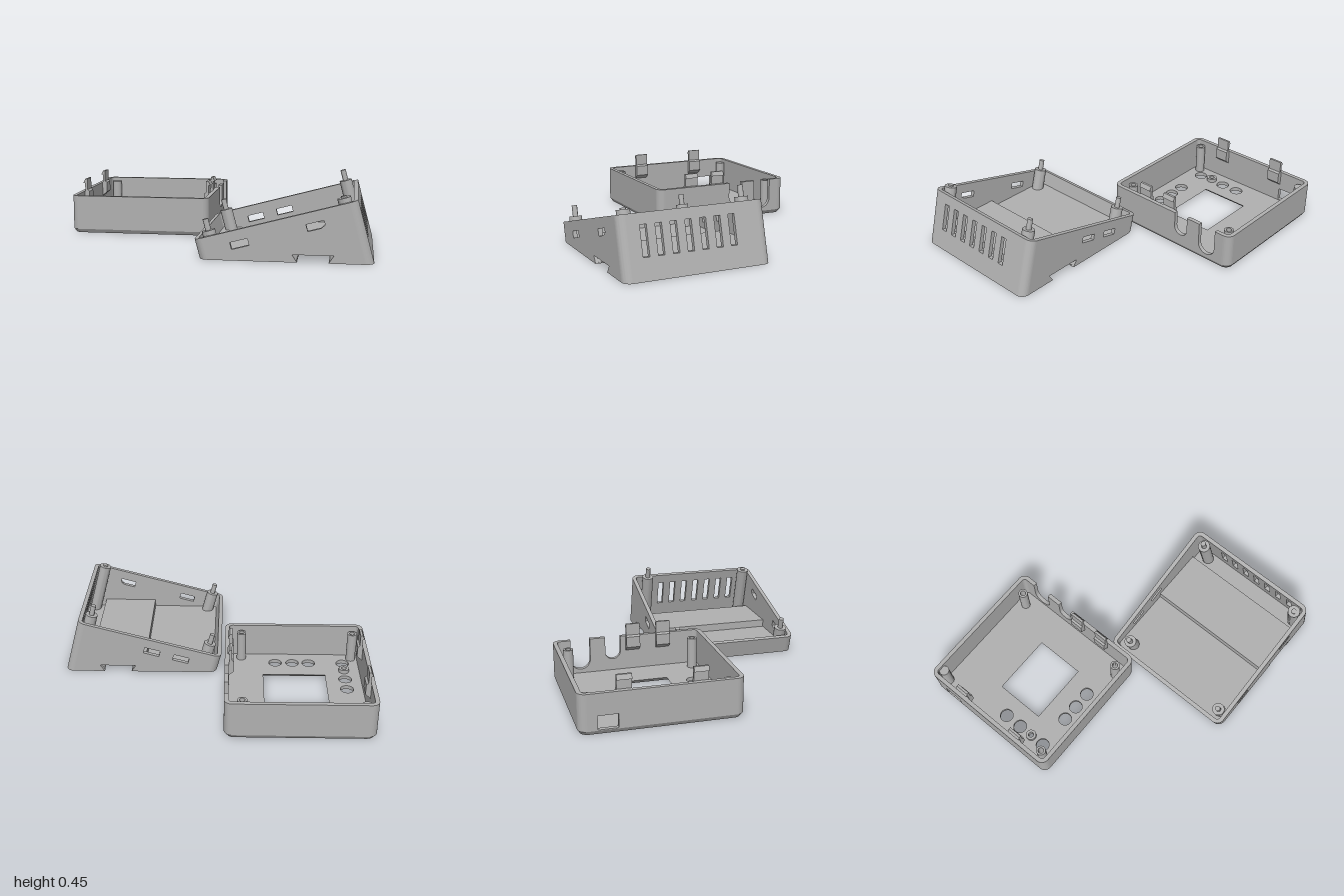
import * as THREE from 'three';
import { toCreasedNormals } from 'three/addons/utils/BufferGeometryUtils.js';

const plastic = new THREE.MeshStandardMaterial({ color: 0xb0b0b0 });
plastic.name = 'grey plastic';

const R = 0.05;   // corner radius
const T = 0.027;  // wall thickness
const TILT = Math.PI / 12, C = Math.cos(TILT), S = Math.sin(TILT), K = Math.tan(TILT);

const poly = (pts) => new THREE.Shape(pts.map(([x, y]) => new THREE.Vector2(x, y)));
const rect = (x0, y0, x1, y1) => [[x0, y0], [x1, y0], [x1, y1], [x0, y1]];
const disc = (x, y, r) => new THREE.Shape().absarc(x, y, r, 0, Math.PI * 2, false);
const extrude = (shape, depth) =>
  new THREE.ExtrudeGeometry(shape, { depth, bevelEnabled: false, curveSegments: 16 });

function add(group, name, geo) {
  const mesh = new THREE.Mesh(toCreasedNormals(geo, 0.6), plastic);
  mesh.name = name;
  group.add(mesh);
  return mesh;
}

// Moves every vertex of a geometry by a rule
function warp(geo, rule) {
  const p = geo.attributes.position, v = new THREE.Vector3();
  for (let i = 0; i < p.count; i++) {
    v.fromBufferAttribute(p, i);
    rule(v);
    p.setXYZ(i, v.x, v.y, v.z);
  }
  return geo;
}

// Four walls and four round corners in (u, h, w) space with h from 0 to 1, then placed by a rule
function shell(group, L, W, rule, walls) {
  const wall = (name, len, spec = {}) => {
    const shape = poly(spec.outline || rect(R, 0, len - R, 1));
    (spec.holes || []).forEach((h) => shape.holes.push(poly(h)));
    return extrude(shape, T);
  };
  for (const far of [0, 1]) {
    const a = wall('side', L, walls[far ? 'wFar' : 'wNear']).translate(0, 0, far ? W - T : 0);
    add(group, far ? 'frontWall' : 'backWall', warp(a, rule));
    const b = wall('end', W, walls[far ? 'uFar' : 'uNear']).rotateY(-Math.PI / 2);
    add(group, far ? 'rightEndWall' : 'leftEndWall', warp(b.translate(far ? L : T, 0, 0), rule));
  }
  [[1, 1], [-1, 1], [-1, -1], [1, -1]].forEach(([sx, sy], k) => {
    const a = k * Math.PI / 2;
    const s = new THREE.Shape();
    s.absarc(0, 0, R, a, a + Math.PI / 2, false);
    s.absarc(0, 0, R - T, a + Math.PI / 2, a, true);
    const g = extrude(s, 1).rotateX(-Math.PI / 2);
    g.translate(sx > 0 ? L - R : R, 0, sy > 0 ? R : W - R);
    add(group, 'cornerWall', warp(g, rule));
  });
}

// Upright post, optionally hollow
function post(group, name, x, z, r, hole, y0, y1) {
  const s = disc(0, 0, r);
  if (hole) s.holes.push(disc(0, 0, hole));
  add(group, name, extrude(s, y1 - y0).rotateX(-Math.PI / 2).translate(x, y0, z));
}

function makeTray() {
  const g = new THREE.Group();
  g.name = 'tray';
  const X0 = -1, Z0 = -0.84, L = 0.925, W = 0.98, F = 0.025, H = 0.25;
  const cx = X0 + L / 2, cz = Z0 + W / 2;
  const zy = ([z, y]) => [z - Z0, (y - F) / (H - F)];

  // Walls: a socket opening on one end, two open cable slots on the other
  const slots = [];
  for (const [zc, r, yc] of [[-0.45, 0.05, 0.15], [-0.6625, 0.0625, 0.1125]]) {
    slots.push([zc + r, H]);
    for (let i = 0; i <= 14; i++) {
      const a = Math.PI * i / 14;
      slots.push([zc + r * Math.cos(a), yc - r * Math.sin(a)]);
    }
    slots.push([zc - r, H]);
  }
  shell(g, L, W, (v) => v.set(X0 + v.x, F + v.y * (H - F), Z0 + v.z), {
    uNear: { holes: [rect(-0.73, 0.03, -0.61, 0.115).map(zy)] },
    uFar: { outline: [[R, 0], [W - R, 0], [W - R, 1], ...slots.map(zy), [R, 1]] },
  });

  // Floor with screen window and button holes; lower edges are chamfered
  const s = new THREE.Shape();
  const c = [[L / 2 - R, W / 2 - R], [R - L / 2, W / 2 - R], [R - L / 2, R - W / 2], [L / 2 - R, R - W / 2]];
  c.forEach(([x, y], i) =>
    s.absarc(cx + x, -cz + y, R, i * Math.PI / 2, (i + 1) * Math.PI / 2, false));
  s.holes.push(poly(rect(-0.74, 0.15, -0.33, 0.48)));
  for (const [x, z] of [[-0.87, -0.32], [-0.87, -0.2], [-0.87, 0], [-0.64, 0], [-0.53, 0], [-0.415, 0]])
    s.holes.push(disc(x, -z, 0.043));
  s.holes.push(disc(-0.87, 0.1, 0.017));
  const floor = warp(extrude(s, F).rotateX(-Math.PI / 2), (v) => {
    if (v.y > 0.001) return;
    const dx = v.x - cx, dz = v.z - cz;
    if (Math.abs(dx) > 0.41 || Math.abs(dz) > 0.43) {
      v.x = cx + dx * 0.967;
      v.z = cz + dz * 0.969;
    } else if (Math.abs(v.x + 0.535) < 0.21 && Math.abs(v.z + 0.315) < 0.17) {
      v.x += 0.025 * Math.sign(v.x + 0.535);
      v.z += 0.025 * Math.sign(v.z + 0.315);
    }
  });
  add(g, 'trayFloor', floor);

  // Screw posts and small button collar
  for (const [x, z] of [[-0.185, -0.755], [-0.93, 0.06], [-0.185, 0.06]])
    post(g, 'trayPost', x, z, 0.031, 0.018, F, 0.225);
  post(g, 'trayPost', -0.93, -0.79, 0.032, 0, F, 0.225);
  post(g, 'buttonCollar', -0.87, -0.1, 0.034, 0.017, F, 0.05);

  // Snap clips with outward hooks
  const clip = [[-0.975, 0.15], [-0.94, 0.18], [-0.94, 0.25], [-0.953, 0.26], [-0.953, 0.335],
    [-0.968, 0.335], [-0.982, 0.307], [-0.97, 0.307], [-0.97, 0.25], [-0.975, 0.25]];
  for (const [side, z] of [[-1, -0.57], [-1, -0.12], [1, -0.32], [1, -0.12]]) {
    const pts = clip.map(([x, y]) => [side < 0 ? x : 2 * cx - x, y]);
    add(g, 'snapClip', extrude(poly(pts), 0.09).translate(0, 0, z - 0.045));
  }
  return g;
}

function makeWedge() {
  const g = new THREE.Group();
  g.name = 'wedgeBase';
  const X0 = -0.05, Y0 = 0.115, Z0 = -0.09, L = 0.98, W = 0.925;
  // Point u along the sloping rim and d below it, square to the slope
  const rim = (u, d) => [X0 + u * C + d * S, Y0 + u * S - d * C];
  // Front-plane position to wall space
  const toWall = ([x, y]) => {
    const u = (x - X0 - Y0 * K + y * K) / (C + S * K);
    return [u, y / (Y0 + u * S)];
  };
  const slot = (u, d) => [[-1, -1], [1, -1], [1, 1], [-1, 1]]
    .map(([a, b]) => toWall(rim(u + a * 0.053, d + b * 0.021)));
  const groove = [[0.555, 0], [0.525, 0.045], [0.765, 0.045], [0.735, 0]];
  const outline = [[R, 0], ...groove.map(toWall), [L - R, 0], [L - R, 1], [R, 1]];

  // Walls: clip slots on the sides, vents on the tall end
  const vents = [];
  for (let i = 0; i < 7; i++) {
    const w = 0.14 + i * 0.0917 - Z0;
    vents.push(rect(w - 0.02, 0.35, w + 0.02, 0.825));
  }
  shell(g, L, W, (v) => {
    const [x, y] = rim(v.x, 0);
    v.set(x + (1 - v.y) * y * K, v.y * y, Z0 + v.z);
  }, {
    wNear: { outline, holes: [slot(0.257, 0.085), slot(0.457, 0.085)] },
    wFar: { outline, holes: [slot(0.257, 0.085), slot(0.712, 0.085)] },
    uFar: { holes: vents },
  });

  // Floor with raised block over the dovetail groove
  const z0 = Z0 + 0.02, depth = W - 0.04, B = 0.008;
  const profile = [[-0.005, B], [0.55, B], [0.525, 0.045], [0.765, 0.045], [0.74, B], [0.975, B],
    [0.97, 0.027], [0.83, 0.027], [0.83, 0.078], [0.46, 0.078], [0.46, 0.027], [-0.01, 0.027]];
  add(g, 'wedgeFloor', extrude(poly(profile), depth).translate(0, 0, z0));

  // Underside plates with round foot recesses
  for (const [xa, xb, xf] of [[-0.005, 0.553, 0.15], [0.737, 0.978, 0.85]]) {
    const s = poly(rect(xa, -z0 - depth, xb, -z0));
    for (const z of [0.17, 0.57]) s.holes.push(disc(xf, -z, 0.065));
    add(g, 'undersidePlate', extrude(s, B).rotateX(-Math.PI / 2));
  }

  // Tilted columns with locating pins; one pin is short
  const rod = (name, u, z, r, dTop, dEnd) => {
    const geo = new THREE.CylinderGeometry(r, r, dEnd - dTop, 24);
    const m = add(g, name, geo);
    const [x, y] = rim(u, (dTop + dEnd) / 2);
    m.position.set(x, y, z);
    m.rotation.z = TILT;
  };
  for (const u of [0.088, 0.903]) for (const z of [0.018, 0.767]) {
    const end = (Y0 + u * S) / C - 0.02;
    const short = u > 0.5 && z > 0.5;
    rod('column', u, z, 0.04, -0.027, end);
    rod('locatingPin', u, z, 0.017, short ? -0.037 : -0.096, 0);
  }
  return g;
}

export function createModel() {
  const model = new THREE.Group();
  model.name = 'enclosure';
  model.add(makeTray(), makeWedge());
  return model;
}
